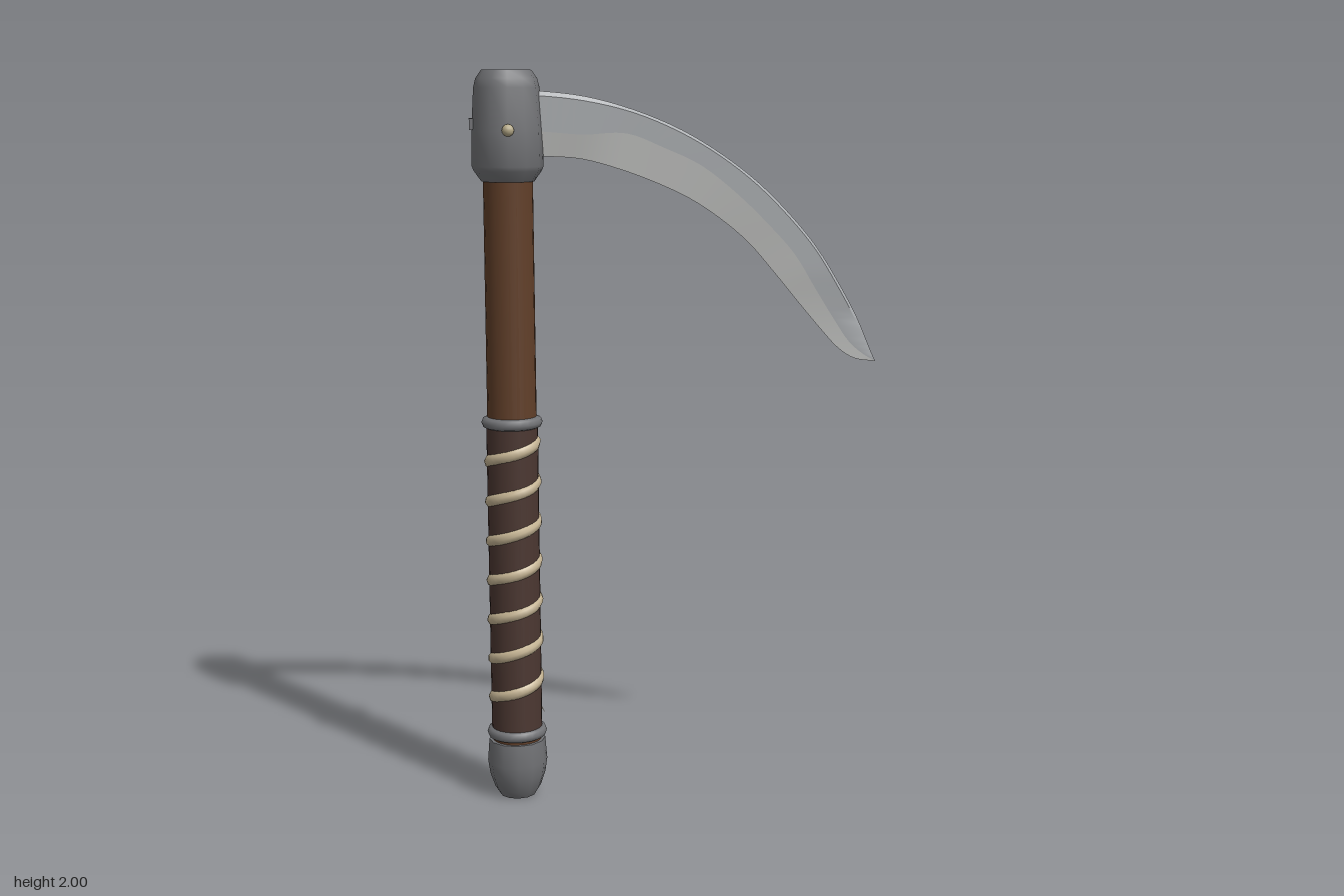
import * as THREE from 'three';
import { toCreasedNormals } from 'three/addons/utils/BufferGeometryUtils.js';

const material = (name, color) => {
  const m = new THREE.MeshStandardMaterial({ color });
  m.name = name;
  return m;
};

export function createModel() {
  const iron = material('dark iron', 0x727376);
  const steel = material('blade steel', 0xa9acaf);
  const bright = material('sharpened steel', 0xc6c7c5);
  const wood = material('brown wood', 0x613f29);
  const leather = material('dark leather', 0x4b3731);
  const cord = material('pale cord', 0xc6b594);
  const brass = material('pale brass', 0xb5a988);

  const model = new THREE.Group();
  model.name = 'sickle';
  const handle = new THREE.Group();
  handle.name = 'handle';
  handle.position.x = -0.455;
  model.add(handle);

  const add = (parent, name, geometry, mat, x = 0, y = 0, z = 0) => {
    const mesh = new THREE.Mesh(geometry, mat);
    mesh.name = name;
    mesh.position.set(x, y, z);
    parent.add(mesh);
    return mesh;
  };
  const turned = (profile, sides) => toCreasedNormals(
    new THREE.LatheGeometry(profile.map(([r, y]) => new THREE.Vector2(r, y)), sides), 0.65);

  // Shaft and grip
  add(handle, 'shaft', new THREE.CylinderGeometry(0.066, 0.068, 1.6, 20), wood, 0, 0.95);
  add(handle, 'grip', new THREE.CylinderGeometry(0.07, 0.07, 0.86, 24), leather, 0, 0.625);

  // Collars at both ends of the grip
  for (const [name, y] of [['lowerCollar', 0.185], ['upperCollar', 1.063]]) {
    add(handle, name, new THREE.TorusGeometry(0.067, 0.016, 8, 24), iron, 0, y).rotation.x = Math.PI / 2;
  }

  // Pommel and head socket
  add(handle, 'pommel', turned([[0, 0], [0.05, 0], [0.064, 0.022], [0.077, 0.06], [0.083, 0.1],
    [0.078, 0.163], [0, 0.163]], 12), iron);
  add(handle, 'head', turned([[0, 1.71], [0.07, 1.71], [0.09, 1.738], [0.095, 1.75], [0.094, 1.84],
    [0.087, 1.955], [0.081, 1.978], [0.066, 2], [0, 2]], 12), iron);
  add(handle, 'tangEnd', new THREE.BoxGeometry(0.02, 0.03, 0.026), iron, -0.09, 1.86);

  // Rivets on both faces of the head
  for (const side of [1, -1]) {
    const rivet = add(handle, 'rivet', new THREE.SphereGeometry(0.016, 12, 8), brass, 0, 1.845, side * 0.094);
    rivet.scale.z = 0.9;
  }

  // Cord wound around the grip
  const turns = 7, points = [];
  for (let i = 0; i <= turns * 16; i++) {
    const a = Math.PI / 2 + (i / 16) * Math.PI * 2;
    points.push(new THREE.Vector3(Math.sin(a) * 0.059, 0.23 + 0.78 * i / (turns * 16), Math.cos(a) * 0.059));
  }
  add(handle, 'cordWrap', new THREE.TubeGeometry(new THREE.CatmullRomCurve3(points), 224, 0.019, 8), cord);

  // Blade: spine, bevel ridge and cutting edge, from the root to the tip
  const rows = [
    [-0.42, 1.947, -0.42, 1.84, -0.42, 1.775],
    [-0.362, 1.945, -0.362, 1.84, -0.362, 1.775],
    [-0.25, 1.932, -0.257, 1.832, -0.26, 1.768],
    [-0.12, 1.897, -0.14, 1.835, -0.15, 1.738],
    [0.008, 1.844, -0.04, 1.797, -0.05, 1.7],
    [0.12, 1.777, 0.06, 1.75, 0.03, 1.662],
    [0.22, 1.7, 0.16, 1.672, 0.11, 1.61],
    [0.31, 1.61, 0.243, 1.592, 0.19, 1.543],
    [0.38, 1.525, 0.315, 1.512, 0.26, 1.463],
    [0.44, 1.43, 0.372, 1.42, 0.32, 1.39],
    [0.49, 1.34, 0.427, 1.333, 0.39, 1.307],
    [0.52, 1.272, 0.472, 1.268, 0.443, 1.25],
    [0.535, 1.237, 0.51, 1.235, 0.488, 1.222],
    [0.547, 1.213, 0.547, 1.213, 0.547, 1.213],
  ];
  const [spine, ridge, edge] = [0, 2, 4].map((k) =>
    new THREE.CatmullRomCurve3(rows.map((r) => new THREE.Vector3(r[k], r[k + 1], 0))));

  // Cross-section from the edge up the front, over the spine and down the back
  const section = (t) => {
    const s = spine.getPoint(t), r = ridge.getPoint(t), e = edge.getPoint(t);
    const half = 0.016 * THREE.MathUtils.clamp((0.55 - s.x) / 0.13, 0, 1);
    const shoulder = s.clone().lerp(r, 0.12);
    const at = (p, z) => new THREE.Vector3(p.x, p.y, z);
    return [e, at(r, half * 0.9), at(shoulder, half), at(s, half * 0.45),
      at(s, -half * 0.45), at(shoulder, -half), at(r, -half * 0.9), e];
  };
  const steps = 52;
  const sections = Array.from({ length: steps + 1 }, (_, i) => section(i / steps));
  const bladeStrip = (columns) => {
    const corners = [];
    for (let i = 0; i < steps; i++) {
      for (const j of columns) {
        const a = sections[i][j], b = sections[i + 1][j];
        const c = sections[i + 1][j + 1], d = sections[i][j + 1];
        corners.push(a, b, c, a, c, d);
      }
    }
    return toCreasedNormals(new THREE.BufferGeometry().setFromPoints(corners), 0.5);
  };
  const blade = new THREE.Group();
  blade.name = 'blade';
  model.add(blade);
  add(blade, 'bladeBody', bladeStrip([1, 2, 3, 4, 5]), steel);
  add(blade, 'cuttingEdge', bladeStrip([0, 6]), bright);

  return model;
}
